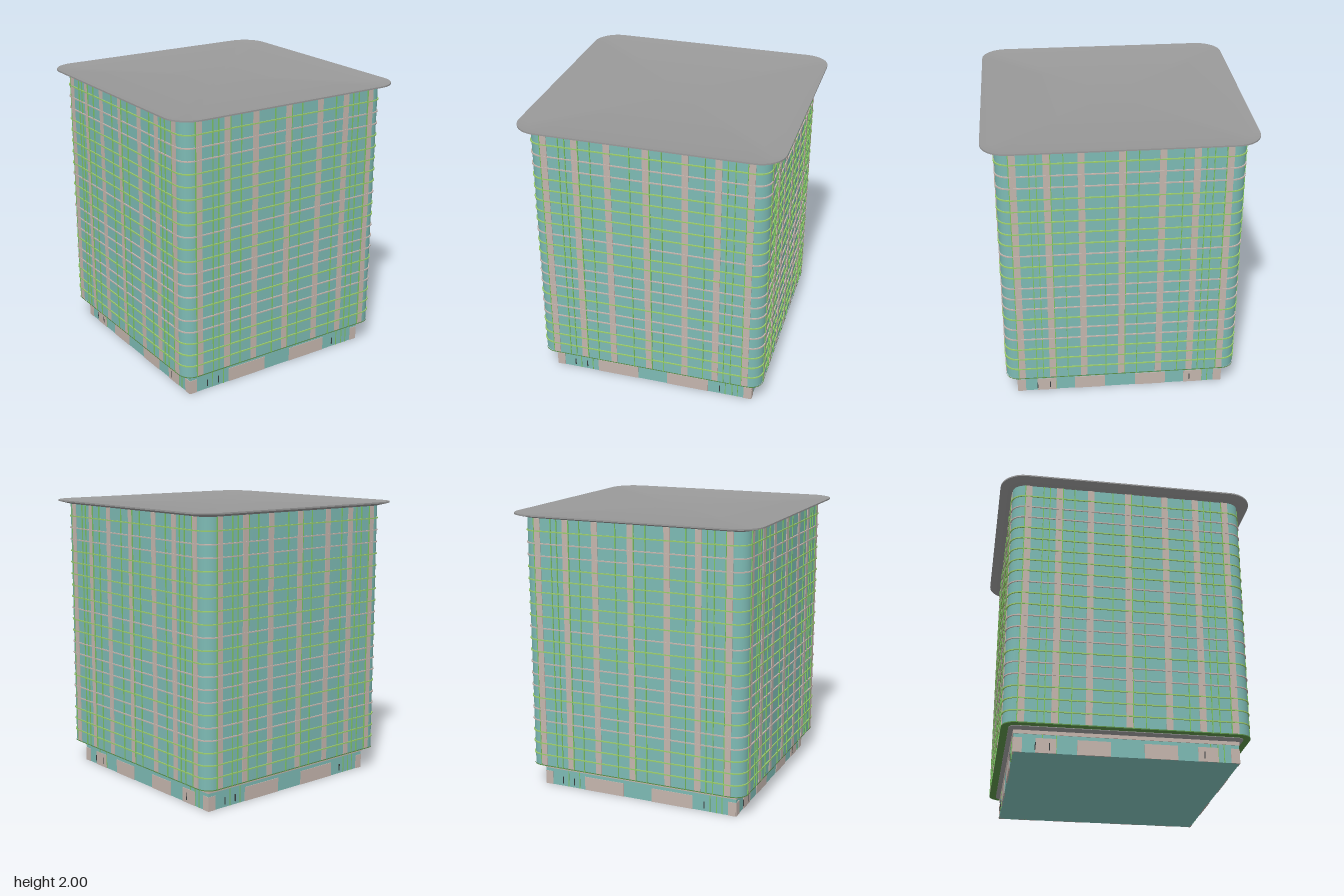
import * as THREE from 'three';
import { toCreasedNormals } from 'three/addons/utils/BufferGeometryUtils.js';

const mat = (color) => new THREE.MeshStandardMaterial({ color });
const glass = mat(0x7dbab4), stone = mat(0xc4b5ad), green = mat(0x7cc464);
const lime = mat(0x9acb6c), grey = mat(0x999999), dark = mat(0x3a3f40), soffitGreen = mat(0x5a8f48);

const CORNER = 0.73; // centre of the rounded corners
const STEPS = 8;

// Rounded-square loft through [halfWidth, y] levels, listed upwards along the outside
function loft(levels) {
  const pos = [], index = [], ring = 4 * (STEPS + 1);
  for (const [half, y] of levels) {
    const c = Math.min(half, CORNER), r = half - c;
    for (let q = 0; q < 4; q++) {
      const sx = q === 0 || q === 3 ? 1 : -1, sz = q < 2 ? 1 : -1;
      for (let i = 0; i <= STEPS; i++) {
        const a = (q + i / STEPS) * Math.PI / 2;
        pos.push(sx * c + r * Math.cos(a), y, sz * c + r * Math.sin(a));
      }
    }
  }
  for (let l = 0; l < levels.length - 1; l++) {
    for (let i = 0; i < ring; i++) {
      const a = l * ring + i, b = l * ring + (i + 1) % ring;
      index.push(a, a + ring, b, b, a + ring, b + ring);
    }
  }
  const g = new THREE.BufferGeometry();
  g.setAttribute('position', new THREE.Float32BufferAttribute(pos, 3));
  g.setIndex(index);
  return toCreasedNormals(g, 0.4);
}

function add(parent, name, geometry, material) {
  const mesh = new THREE.Mesh(geometry, material);
  mesh.name = name;
  parent.add(mesh);
  return mesh;
}

// Panel on the +z face, from x0 to x1 and y0 to y1, with its front at z
function panel(parent, name, x0, x1, y0, y1, z, material, depth = 0.02) {
  const mesh = add(parent, name, new THREE.BoxGeometry(x1 - x0, y1 - y0, depth), material);
  mesh.position.set((x0 + x1) / 2, (y0 + y1) / 2, z - depth / 2);
}

// One side of the tower: stone pilasters and thin green mullions
function towerFace() {
  const face = new THREE.Group();
  for (const x of [-0.705, -0.488, -0.265, 0, 0.265, 0.488, 0.705]) {
    const w = 0.0225;
    panel(face, 'pilaster', x - w, x + w, 0.172, 1.968, 0.822, stone);
  }
  for (const x of [-0.73, -0.6, -0.555, -0.463, -0.38, -0.11, 0.025, 0.11, 0.4, 0.55, 0.6, 0.68]) {
    panel(face, 'mullion', x - 0.003, x + 0.003, 0.172, 1.968, 0.824, green);
  }
  return face;
}

// One side of the ground floor: stone wall panels, posts and door handles
function groundFace(spans) {
  const face = new THREE.Group();
  for (const [a, b] of spans) panel(face, 'wallPanel', a, b, 0, 0.1, 0.745, stone, 0.01);
  for (const x of [-0.555, -0.465, 0.55, 0.6, 0.64]) {
    panel(face, 'post', x - 0.003, x + 0.003, 0, 0.13, 0.744, green, 0.01);
  }
  for (const x of [-0.6, -0.508, 0.508]) {
    panel(face, 'doorHandle', x - 0.003, x + 0.003, 0.02, 0.07, 0.747, dark, 0.01);
  }
  return face;
}

export function createModel() {
  const model = new THREE.Group();
  model.name = 'towerBlock';

  // Ground floor
  const base = add(model, 'groundFloor', new THREE.BoxGeometry(1.482, 0.15, 1.482), glass);
  base.position.y = 0.075;
  const frieze = add(model, 'frieze', new THREE.BoxGeometry(1.49, 0.025, 1.49), stone);
  frieze.position.y = 0.1375;
  add(model, 'collar', loft([[0, 0.15], [0.745, 0.15], [0.775, 0.165], [0.775, 0.172]]), grey);

  // Glazed tower and its underside
  add(model, 'soffit', loft([[0, 0.169], [0.823, 0.169], [0.823, 0.176]]), soffitGreen);
  add(model, 'tower', loft([[0.817, 0.172], [0.817, 1.972]]), glass);

  // Floor lines
  const pinkFloors = [4, 5, 7, 8, 9, 12, 18, 19];
  for (let i = 1; i <= 20; i++) {
    const y = 0.17 + i * 0.0855;
    const levels = [[0.81, y - 0.004], [0.825, y - 0.004], [0.825, y + 0.004], [0.81, y + 0.004]];
    add(model, 'floorLine', loft(levels), pinkFloors.includes(i) ? stone : lime);
  }

  // Four sides
  const wide = [[-0.741, -0.685], [-0.42, -0.11], [0.11, 0.42], [0.685, 0.741]];
  const narrow = [[-0.741, -0.685], [-0.6, -0.465], [-0.33, -0.11], [0.11, 0.33],
    [0.465, 0.6], [0.685, 0.741]];
  for (let i = 0; i < 4; i++) {
    const side = new THREE.Group();
    side.name = ['front', 'left', 'back', 'right'][i] + 'Side';
    side.add(towerFace(), groundFace(i % 2 ? narrow : wide));
    side.children[0].name = 'facade';
    side.children[1].name = 'groundFacade';
    side.rotation.y = i * Math.PI / 2;
    model.add(side);
  }

  // Overhanging roof with a shallow raised rim
  add(model, 'roof', loft([[0, 1.968], [0.815, 1.968], [0.905, 1.99], [0.905, 2],
    [0.83, 1.988], [0, 1.988]]), grey);

  return model;
}
